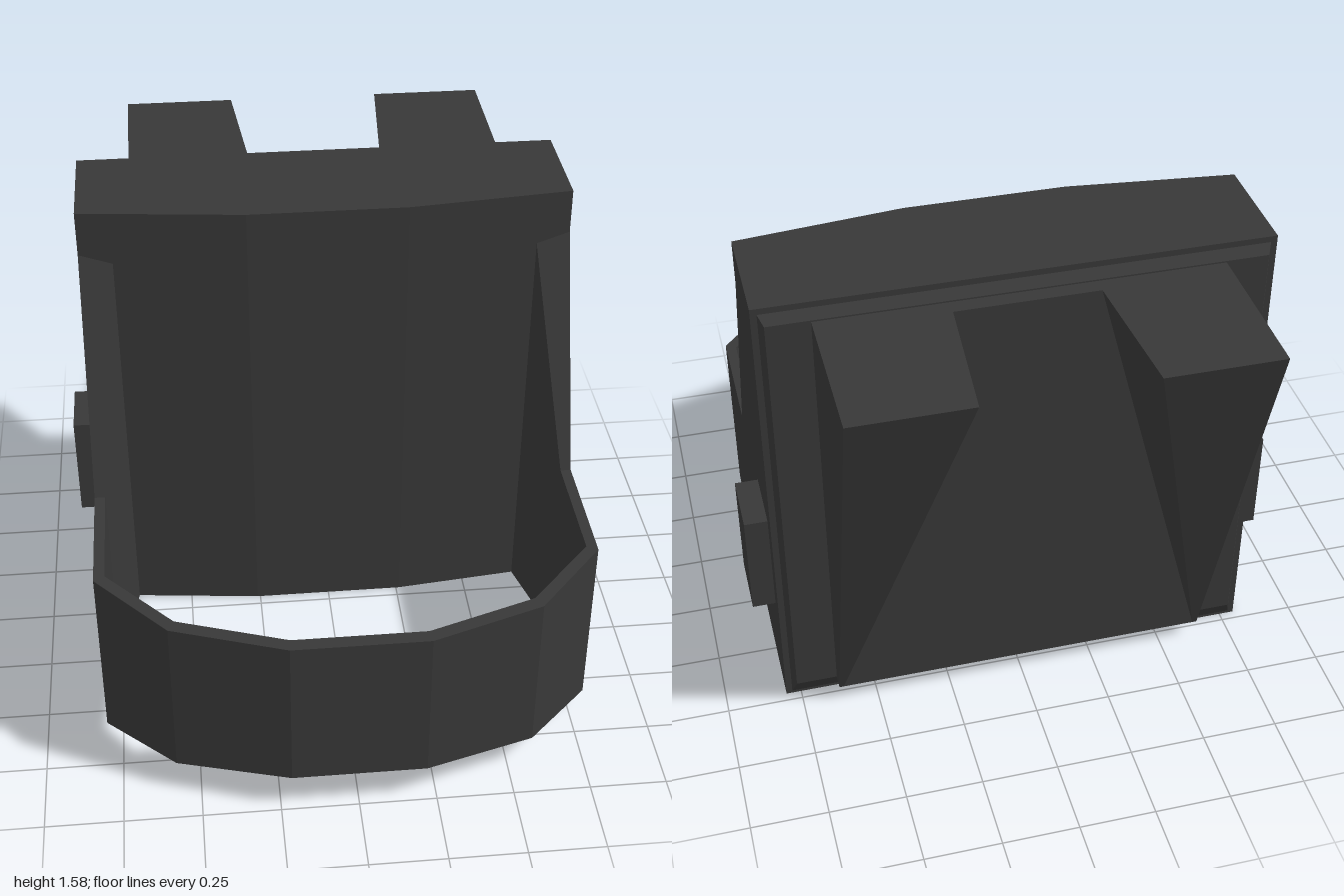
import * as THREE from 'three';
import { ConvexGeometry } from 'three/addons/geometries/ConvexGeometry.js';

const charcoal = new THREE.MeshStandardMaterial({ color: 0x383838 });
charcoal.name = 'charcoal';

export function createModel() {
  const model = new THREE.Group();
  model.name = 'holder';

  const add = (name, geometry) => {
    const mesh = new THREE.Mesh(geometry, charcoal);
    mesh.name = name;
    model.add(mesh);
    return mesh;
  };
  const convex = (points) => new ConvexGeometry(points.map((p) => new THREE.Vector3(...p)));

  // Back slab with a slightly bowed front, extruded upwards from its plan
  const plan = [[-0.8, -0.47], [0.8, -0.47], [0.8, -0.1], [0.26, -0.04], [-0.26, -0.04], [-0.8, -0.1]];
  add('backSlab', convex([0, 1.58].flatMap((y) => plan.map(([x, z]) => [x, y, z]))));

  // Chamfered plate behind the slab
  const rect = (w, y0, y1, z) => [[-w, y0, z], [w, y0, z], [w, y1, z], [-w, y1, z]];
  add('backPlate', convex([...rect(0.78, 0.01, 1.56, -0.47), ...rect(0.765, 0.07, 1.535, -0.5)]));

  // Raised panel between the prongs
  add('rearPanel', convex([...rect(0.63, 0.07, 1.53, -0.5), ...rect(0.63, 0.07, 1.53, -0.55)]));

  for (const [side, s] of [['left', 1], ['right', -1]]) {
    // Prong tapering to a point at the lower outer corner
    add(side + 'Prong', convex([
      [0.63, 1.53, -0.55], [0.63, 1.53, -1], [0.26, 1.53, -1], [0.225, 1.53, -0.55],
      [0.615, 0.07, -0.55], [0.63, 0.07, -0.55],
    ].map(([x, y, z]) => [s * x, y, z])));

    // Side knob
    add(side + 'Knob', new THREE.BoxGeometry(0.095, 0.36, 0.21))
      .position.set(s * 0.8275, 0.53, -0.285);
  }

  // Front hoop and sloping side arms: outer x, z, inner x, z at each station
  const half = [
    [0.8, -0.1, 0.69, -0.088],
    [0.8, 0.2, 0.765, 0.2],
    [0.8, 0.625, 0.765, 0.605],
    [0.575, 0.877, 0.555, 0.837],
    [0.215, 1, 0.21, 0.955],
  ];
  const stations = [...half, ...half.map(([a, b, c, d]) => [-a, b, -c, d]).reverse()];
  const topAt = (z) => 0.68 + Math.max(0, 0.2 - z) * 2.5;
  const bottomAt = (z) => (z < 0.2 ? 0 : z < 0.62 ? (z - 0.2) * 0.155 : 0.065 + (z - 0.62) * 0.197);
  const positions = [];
  const sections = stations.map(([ox, oz, ix, iz]) => [
    [ox, bottomAt(oz), oz], [ox, topAt(oz), oz], [ix, topAt(iz), iz], [ix, bottomAt(iz), iz],
  ]);
  for (let i = 0; i < sections.length - 1; i++) {
    for (let j = 0; j < 4; j++) {
      const k = (j + 1) % 4;
      const a = sections[i][j], b = sections[i][k], c = sections[i + 1][k], d = sections[i + 1][j];
      positions.push(...a, ...b, ...c, ...a, ...c, ...d);
    }
  }
  const hoop = new THREE.BufferGeometry();
  hoop.setAttribute('position', new THREE.Float32BufferAttribute(positions, 3));
  hoop.computeVertexNormals();
  add('frontHoop', hoop);

  return model;
}
